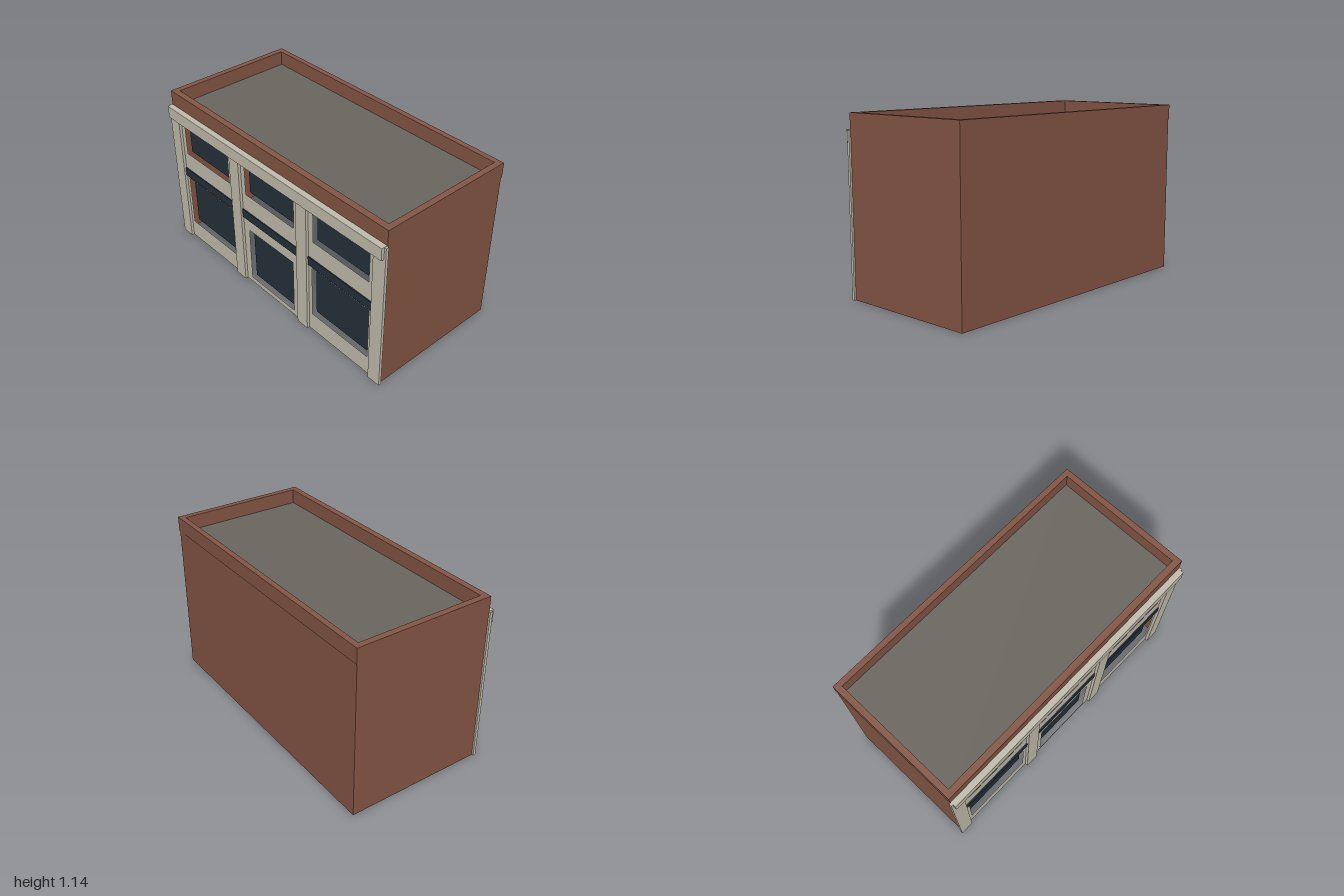
import * as THREE from 'three';

export function createModel() {
  const model = new THREE.Group();
  model.name = 'shopBuilding';

  const mat = (name, color) => {
    const m = new THREE.MeshStandardMaterial({ color, side: THREE.DoubleSide });
    m.name = name;
    return m;
  };
  const brick = mat('brick', 0x845645);
  const stone = mat('stone', 0xc3beae);
  const glass = mat('darkGlass', 0x25303a);
  const roofGrey = mat('roofGrey', 0x6a675f);

  const add = (name, geometry, material, x = 0, y = 0, z = 0) => {
    const mesh = new THREE.Mesh(geometry, material);
    mesh.name = name;
    mesh.position.set(x, y, z);
    model.add(mesh);
    return mesh;
  };
  // Box given by its limits
  const box = (name, material, x0, x1, y0, y1, z0, z1) =>
    add(name, new THREE.BoxGeometry(x1 - x0, y1 - y0, z1 - z0), material,
      (x0 + x1) / 2, (y0 + y1) / 2, (z0 + z1) / 2);
  // Rectangle drawn into a shape or path
  const rect = (path, x0, x1, y0, y1) => {
    path.moveTo(x0, y0);
    path.lineTo(x1, y0);
    path.lineTo(x1, y1);
    path.lineTo(x0, y1);
    path.closePath();
    return path;
  };

  const W = 0.988, FRONT = 0.448, BACK = -0.482, EAVE = 1.04, TOP = 1.14;
  const depth = FRONT - BACK, midZ = (FRONT + BACK) / 2;

  // Thin brick shell, open underneath
  add('backWall', new THREE.PlaneGeometry(2 * W, EAVE), brick, 0, EAVE / 2, BACK).rotation.y = Math.PI;
  for (const s of [-1, 1]) {
    add(s > 0 ? 'leftWall' : 'rightWall', new THREE.PlaneGeometry(depth, EAVE), brick,
      s * W, EAVE / 2, midZ).rotation.y = s * Math.PI / 2;
  }

  // Flat roof inside a hollow brick parapet
  add('roof', new THREE.PlaneGeometry(2 * W, depth), roofGrey, 0, EAVE + 0.002, midZ).rotation.x = -Math.PI / 2;
  const ring = rect(new THREE.Shape(), -0.991, 0.991, -FRONT, 0.486);
  ring.holes.push(rect(new THREE.Path(), -0.951, 0.951, -0.405, 0.449));
  add('parapet', new THREE.ExtrudeGeometry(ring, { depth: TOP - EAVE, bevelEnabled: false }),
    brick, 0, EAVE, 0).rotation.x = -Math.PI / 2;

  // Openings as x0, x1, y0, y1
  const openings = [];
  for (const s of [-1, 1]) {
    const span = (a, b) => (s > 0 ? [a, b] : [-b, -a]);
    openings.push(['upperWindow', ...span(0.405, 0.868), 0.712, 0.956]);
    openings.push(['shopWindow', ...span(0.394, 0.878), 0.133, 0.506]);
  }
  openings.push(['upperWindow', -0.232, 0.232, 0.712, 0.956]);
  openings.push(['door', -0.216, 0.216, 0.038, 0.437]);

  // Pierced stone facade with glass set back behind each opening
  const facade = rect(new THREE.Shape(), -W, W, 0, EAVE);
  for (const [name, x0, x1, y0, y1] of openings) {
    facade.holes.push(rect(new THREE.Path(), x0, x1, y0, y1));
    add(name, new THREE.PlaneGeometry(x1 - x0, y1 - y0), glass,
      (x0 + x1) / 2, (y0 + y1) / 2, FRONT - 0.035);
  }
  add('facade', new THREE.ShapeGeometry(facade), stone, 0, 0, FRONT);

  // Pilasters and the cornice across them
  for (const [x0, x1] of [[-1, -0.907], [-0.364, -0.271], [0.271, 0.364], [0.907, 1]]) {
    box('pilaster', stone, x0, x1, 0, 1.037, FRONT, 0.467);
  }
  box('cornice', stone, -0.987, 0.987, 0.957, EAVE, FRONT, 0.487);

  // Dark sign bands between the pilasters
  for (const [x0, x1] of [[-0.907, -0.364], [-0.271, 0.271], [0.364, 0.907]]) {
    box('signBand', glass, x0, x1, 0.52, 0.583, FRONT, FRONT + 0.007);
  }

  return model;
}
